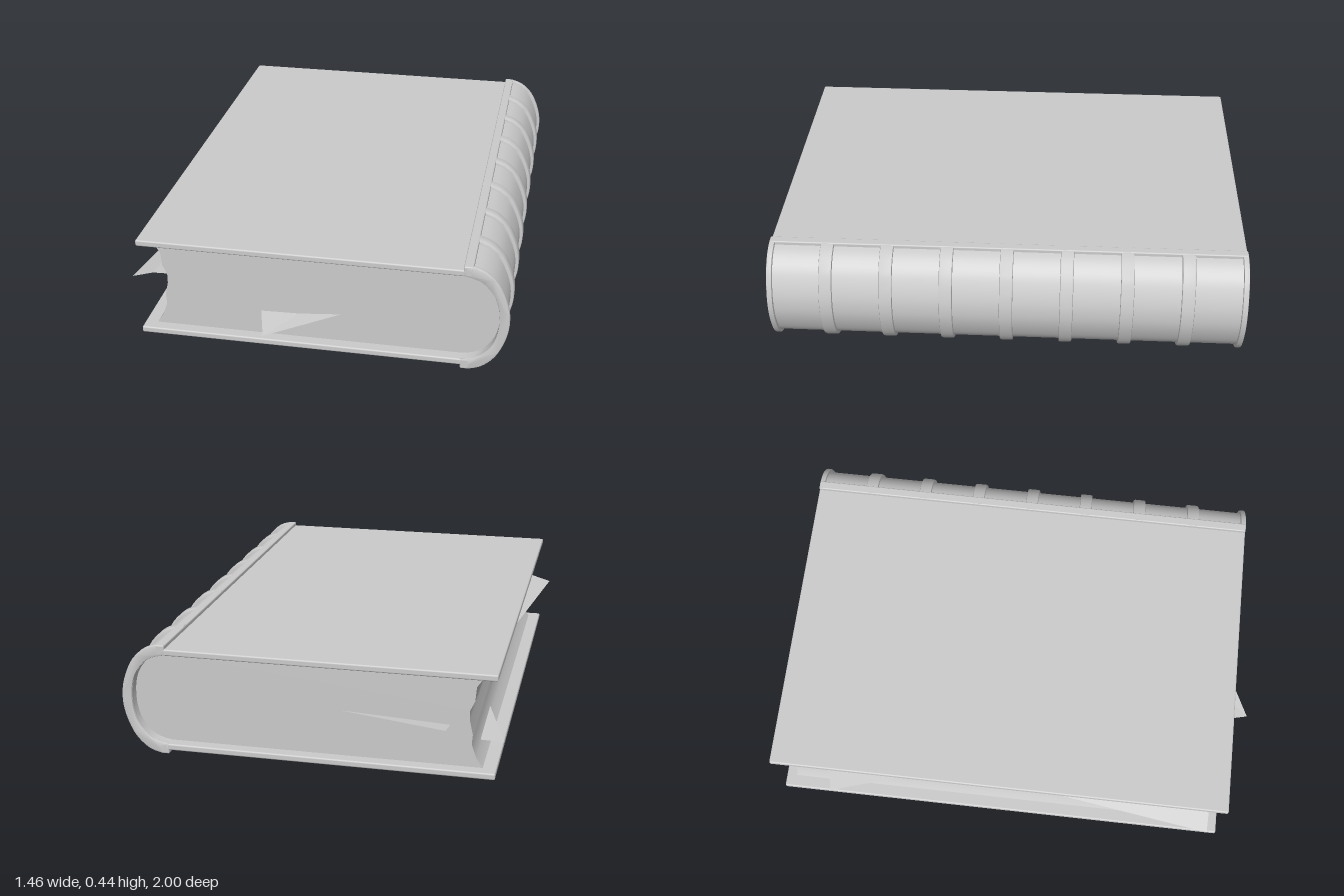
import * as THREE from 'three';
import { toCreasedNormals } from 'three/addons/utils/BufferGeometryUtils.js';
import { RoundedBoxGeometry } from 'three/addons/geometries/RoundedBoxGeometry.js';

const MID = 0.221;                 // height of the book's middle plane
const BACK = -0.97, FRONT = 0.9;   // ends of the covers and spine
const LENGTH = FRONT - BACK, CENTRE = (FRONT + BACK) / 2;

// Mirrors a half profile [x, height above middle] about the middle plane and smooths it
function roundProfile(half, samples = 32) {
  const lower = half.slice(0, -1).reverse().map(([x, h]) => [x, -h]);
  const pts = [...half, ...lower].map(([x, h]) => new THREE.Vector3(x, MID + h, 0));
  return new THREE.CatmullRomCurve3(pts, false, 'centripetal')
    .getPoints(samples).map((p) => new THREE.Vector2(p.x, p.y));
}

// Extrudes a closed outline from z0 to z1
function extrude(points, z0, z1, bevel = 0) {
  const geo = new THREE.ExtrudeGeometry(new THREE.Shape(points), {
    depth: z1 - z0 - 2 * bevel, bevelEnabled: bevel > 0,
    bevelSize: bevel, bevelThickness: bevel, bevelOffset: -bevel, bevelSegments: 2,
  });
  geo.translate(0, 0, z0 + bevel);
  return toCreasedNormals(geo, 0.6);
}

// A thin loose sheet: a fan of triangles around its first corner
function sheet(corners) {
  const pos = [];
  for (let i = 1; i < corners.length - 1; i++) pos.push(...corners[0], ...corners[i], ...corners[i + 1]);
  const geo = new THREE.BufferGeometry();
  geo.setAttribute('position', new THREE.Float32BufferAttribute(pos, 3));
  geo.computeVertexNormals();
  return geo;
}

export function createModel() {
  const book = new THREE.Group();
  book.name = 'book';
  const grey = new THREE.MeshStandardMaterial({ color: 0xcccccc });
  const paper = new THREE.MeshStandardMaterial({ color: 0xcccccc, side: THREE.DoubleSide });
  const add = (name, geo, mat = grey) => {
    const mesh = new THREE.Mesh(geo, mat);
    mesh.name = name;
    book.add(mesh);
    return mesh;
  };

  // Curves of the spine, from the top edge round to the bottom edge
  const inner = roundProfile([[0.55, 0.179], [0.58, 0.174], [0.625, 0.155], [0.67, 0.1], [0.686, 0.05], [0.69, 0]]);
  const panel = roundProfile([[0.575, 0.208], [0.62, 0.193], [0.665, 0.155], [0.695, 0.1], [0.712, 0.045], [0.716, 0]]);
  const band = roundProfile([[0.555, 0.219], [0.59, 0.217], [0.635, 0.2], [0.68, 0.157], [0.708, 0.103], [0.725, 0.045], [0.729, 0]]);

  // Page block with a hollow, uneven fore-edge
  const foreEdge = [[-0.64, 0.042], [-0.615, 0.08], [-0.597, 0.133], [-0.6, 0.17], [-0.588, 0.225],
    [-0.588, 0.265], [-0.605, 0.3], [-0.61, 0.357], [-0.64, 0.4]].map(([x, y]) => new THREE.Vector2(x, y));
  add('pageBlock', extrude([...inner, ...foreEdge], BACK + 0.045, FRONT - 0.045));

  // Cover boards and the raised strip where each meets the spine
  for (const [name, s] of [['top', 1], ['bottom', -1]]) {
    add(name + 'Cover', new RoundedBoxGeometry(1.25, 0.025, LENGTH, 2, 0.006))
      .position.set(-0.065, MID + s * 0.191, CENTRE);
    add(name + 'SpineStrip', new RoundedBoxGeometry(0.036, 0.04, LENGTH, 2, 0.005))
      .position.set(0.57, MID + s * 0.199, CENTRE);
  }

  // Spine shell, with raised bands and end caps
  const hollow = [...inner].reverse();
  add('spine', extrude([...panel, ...hollow], BACK + 0.004, FRONT - 0.004));
  const ring = [...band, ...hollow];
  for (let i = 0; i < 7; i++) {
    const z = -0.74 + i * 0.235;
    add('spineBand', extrude(ring, z - 0.026, z + 0.026, 0.006));
  }
  add('backSpineCap', extrude(ring, BACK, BACK + 0.022, 0.005));
  add('frontSpineCap', extrude(ring, FRONT - 0.022, FRONT, 0.005));

  // Loose page corners sticking out of the block
  add('frontLoosePage', sheet([[-0.18, 0.12, 0.995], [0.12, 0.163, 0.84], [-0.06, 0.147, 0.84], [-0.225, 0.143, 0.84]]), paper);
  add('backLoosePage', sheet([[-0.51, 0.21, -1], [-0.52, 0.2, -0.9], [0.03, 0.227, -0.9]]), paper);
  add('foreEdgeLoosePage', sheet([[-0.57, 0.215, -0.3], [-0.735, 0.23, 0.84], [-0.65, 0.255, 0.84], [-0.57, 0.257, 0.84]]), paper);
  add('lowerLoosePage', sheet([[-0.7, 0.08, -0.765], [-0.59, 0.092, -0.785], [-0.59, 0.1, -0.4]]), paper);

  return book;
}
